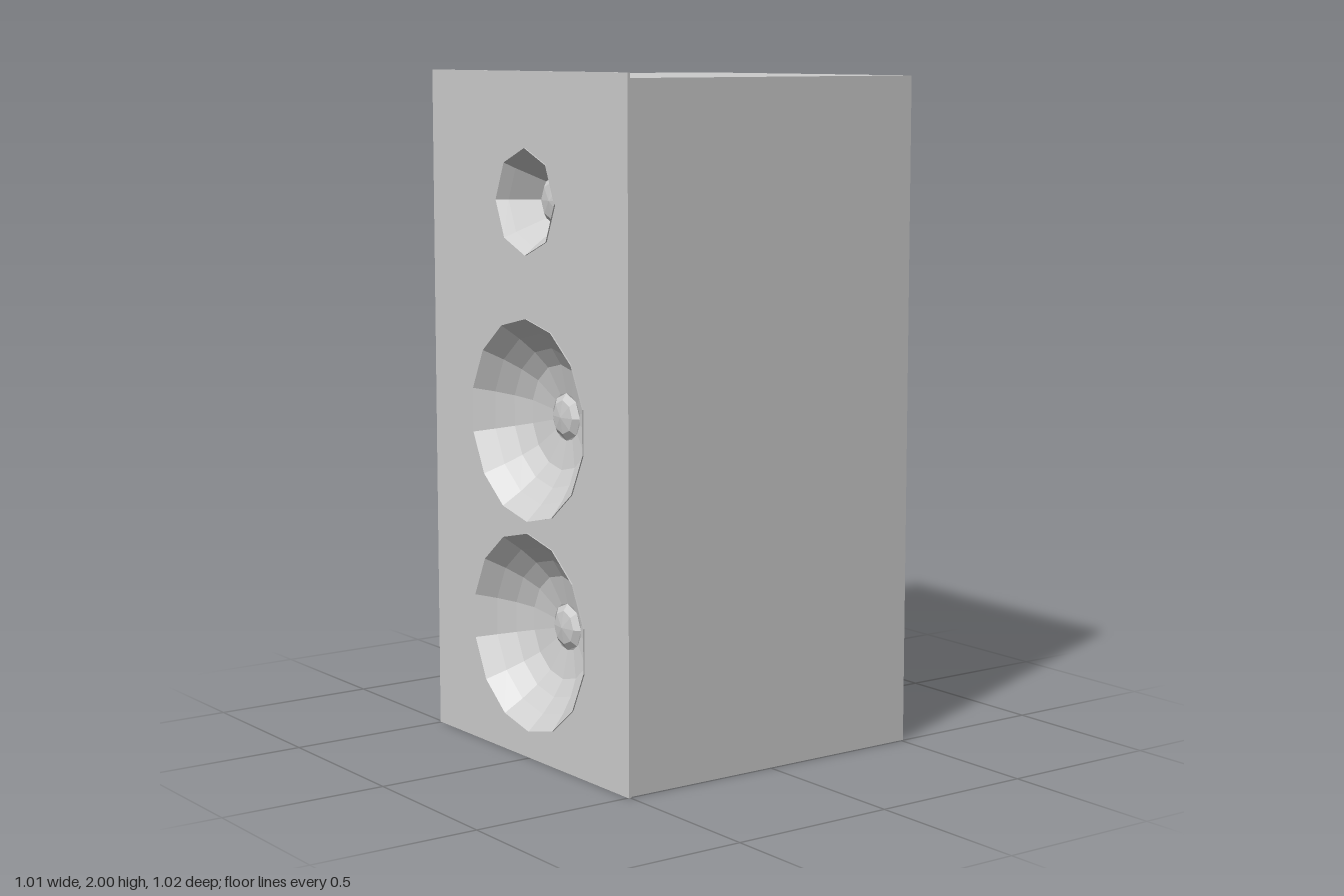
import * as THREE from 'three';

const material = new THREE.MeshStandardMaterial({ color: 0xcccccc, flatShading: true, side: THREE.DoubleSide });
const PANEL_BACK = 0.498, PANEL_FRONT = 0.506, RIM = 0.51;

// Profiles are [radius, depth behind the rim], from the rim lip to the tip of the dome
const wooferProfile = [[0.295, 0.006], [0.295, 0], [0.25, 0.05], [0.205, 0.09], [0.155, 0.122], [0.07, 0.14]];
const wooferCap = [[0.07, 0.14], [0.05, 0.126], [0, 0.118]];
const tweeterProfile = [[0.153, 0.006], [0.153, 0], [0.13, 0.03], [0.075, 0.11]];
const tweeterDome = [[0.075, 0.11], [0.053, 0.092], [0, 0.083]];

const drivers = [
  { name: 'tweeter', y: 1.63, sides: 8, cone: tweeterProfile, dome: tweeterDome },
  { name: 'upperWoofer', y: 1.0, sides: 14, cone: wooferProfile, dome: wooferCap },
  { name: 'lowerWoofer', y: 0.375, sides: 14, cone: wooferProfile, dome: wooferCap },
];

function part(name, geometry) {
  const mesh = new THREE.Mesh(geometry, material);
  mesh.name = name;
  return mesh;
}

// Turned part whose axis points forward
function turned(profile, sides) {
  const points = profile.map(([r, d]) => new THREE.Vector2(r, -d));
  return new THREE.LatheGeometry(points, sides).rotateX(Math.PI / 2);
}

function polygonHole(radius, y, sides) {
  const points = [];
  for (let i = 0; i < sides; i++) {
    const a = (i / sides) * Math.PI * 2;
    points.push(new THREE.Vector2(Math.sin(a) * radius, y + Math.cos(a) * radius));
  }
  return new THREE.Path(points);
}

export function createModel() {
  const model = new THREE.Group();
  model.name = 'loudspeaker';

  // Cabinet: box with its front face left open behind the baffle
  const depth = PANEL_BACK + 0.51;
  const box = new THREE.BoxGeometry(0.996, 1.985, depth);
  const index = Array.from(box.index.array);
  index.splice(24, 6);
  box.setIndex(index);
  box.clearGroups();
  box.translate(-0.002, 1.985 / 2, PANEL_BACK - depth / 2);
  model.add(part('cabinet', box));

  // Front baffle with a faceted opening for each driver
  const outline = new THREE.Shape([
    new THREE.Vector2(-0.505, 0), new THREE.Vector2(0.505, 0),
    new THREE.Vector2(0.505, 2), new THREE.Vector2(-0.505, 2),
  ]);
  for (const d of drivers) outline.holes.push(polygonHole(d.cone[0][0], d.y, d.sides));
  const baffle = new THREE.ExtrudeGeometry(outline, { depth: PANEL_FRONT - PANEL_BACK, bevelEnabled: false });
  baffle.translate(0, 0, PANEL_BACK);
  model.add(part('frontBaffle', baffle));

  // Drivers: recessed cone and central dome
  for (const d of drivers) {
    const driver = new THREE.Group();
    driver.name = d.name;
    driver.position.set(0, d.y, RIM);
    driver.add(part(d.name + 'Cone', turned(d.cone, d.sides)));
    driver.add(part(d.name + 'Dome', turned(d.dome, 8)));
    model.add(driver);
  }
  return model;
}
